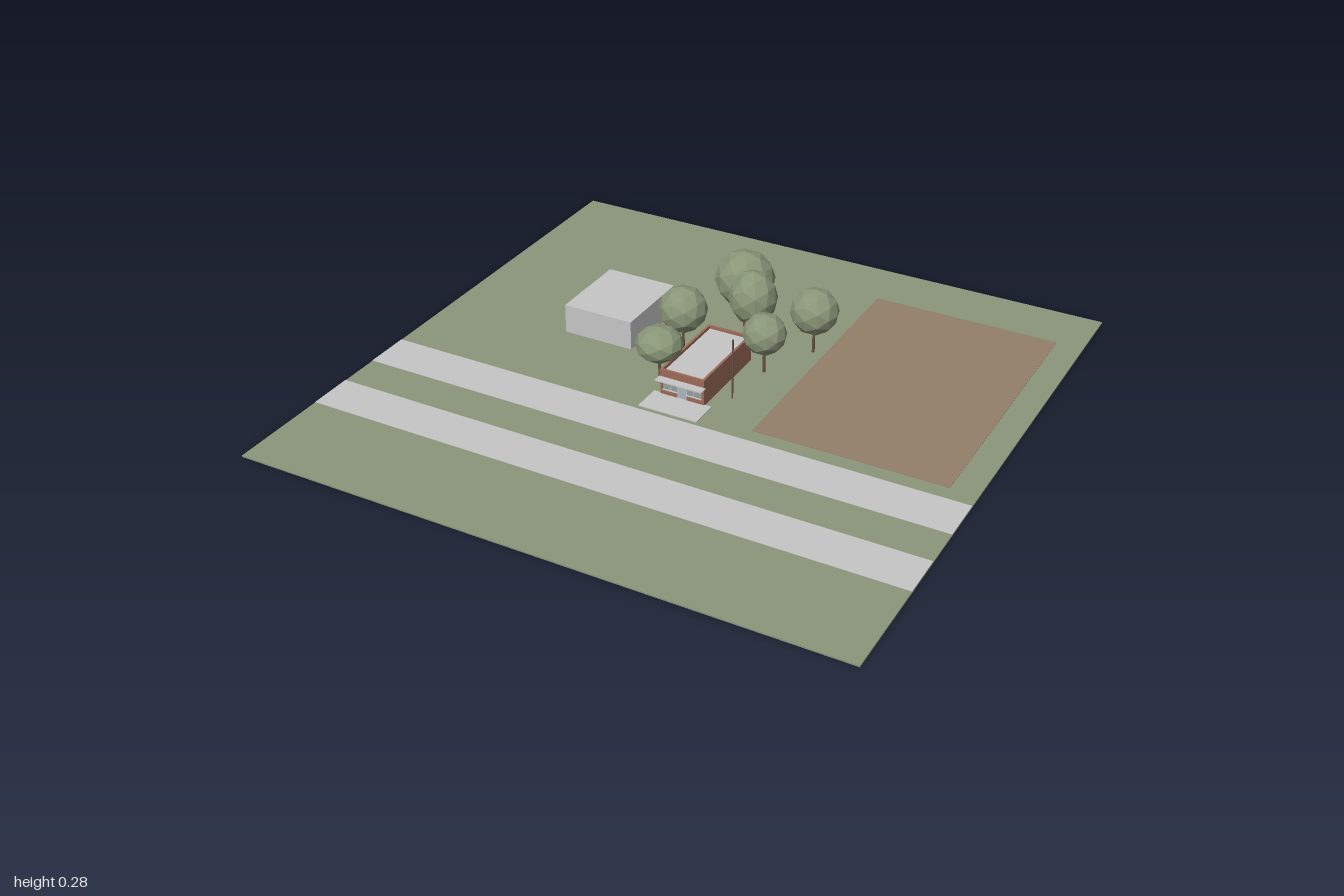
import * as THREE from 'three';

const mat = (name, color, extra = {}) => {
  const m = new THREE.MeshStandardMaterial({ color, ...extra });
  m.name = name;
  return m;
};

export function createModel() {
  const grass = mat('grass green', 0x8b967b);
  const leaf = mat('leaf green', 0x8a9678, { flatShading: true });
  const concrete = mat('concrete grey', 0xc6c6c6);
  const soil = mat('soil brown', 0x94806a);
  const brick = mat('brick red', 0x9c6a58);
  const wood = mat('wood brown', 0x6b5140);
  const glass = mat('window glass', 0x93a09a);
  const door = mat('door grey', 0xaab4be);

  const root = new THREE.Group();
  root.name = 'townLot';

  // box given by its extents
  const box = (parent, name, m, x0, x1, y0, y1, z0, z1) => {
    const mesh = new THREE.Mesh(new THREE.BoxGeometry(x1 - x0, y1 - y0, z1 - z0), m);
    mesh.position.set((x0 + x1) / 2, (y0 + y1) / 2, (z0 + z1) / 2);
    mesh.name = name;
    parent.add(mesh);
    return mesh;
  };

  // ground and paved areas
  const G = 0.005;
  box(root, 'ground', grass, -1, 1, 0, G, -1, 1);
  box(root, 'nearRoad', concrete, -1, 1, G, G + 0.0015, 0.51, 0.66);
  box(root, 'farRoad', concrete, -1, 1, G, G + 0.0015, 0.215, 0.37);
  box(root, 'soilField', soil, 0.27, 0.91, G, G + 0.0015, -0.795, 0.16);
  box(root, 'forecourt', concrete, -0.105, 0.1, G, G + 0.003, 0.1, 0.2);

  // plain neighbouring building
  box(root, 'greyBlock', concrete, -0.55, -0.3, G, 0.106, -0.38, -0.09);

  // brick shop
  const shop = new THREE.Group();
  shop.name = 'shop';
  root.add(shop);
  const L = -0.08, R = 0.075, B = -0.217, F = 0.105, H = 0.096, T = 0.008;
  box(shop, 'rightWall', brick, L, L + T, G, H, B, F);
  box(shop, 'leftWall', brick, R - T, R, G, H, B, F);
  box(shop, 'backWall', brick, L + T, R - T, G, H, B, B + T);
  box(shop, 'frontParapet', brick, L + T, R - T, 0.066, H, F - T, F);
  box(shop, 'roof', concrete, L + T, R - T, 0.08, 0.086, B + T, F - T);

  // shop front: low walls, windows, posts and door
  for (const [x0, x1] of [[L + T, -0.017], [0.013, R - T]]) {
    box(shop, 'lowWall', brick, x0, x1, G, 0.024, F - T, F);
    box(shop, 'window', glass, x0, x1, 0.024, 0.066, F - 0.006, F - 0.003);
    box(shop, 'windowMullion', concrete, (x0 + x1) / 2 - 0.0015, (x0 + x1) / 2 + 0.0015, 0.024, 0.066, F - 0.005, F - 0.001);
    box(shop, 'windowSill', concrete, x0, x1, 0.024, 0.026, F - T, F + 0.002);
  }
  box(shop, 'door', door, -0.017, 0.013, G, 0.053, F - 0.006, F - 0.002);
  box(shop, 'doorTransom', glass, -0.017, 0.013, 0.053, 0.066, F - 0.006, F - 0.003);
  for (const x of [-0.017, 0.013]) {
    box(shop, 'doorPost', concrete, x - 0.0015, x + 0.0015, G, 0.066, F - 0.006, F);
  }

  // thin canopy over the entrance
  box(shop, 'canopy', concrete, -0.083, 0.081, 0.067, 0.071, F, 0.134);

  // utility pole
  const pole = new THREE.Mesh(new THREE.CylinderGeometry(0.003, 0.003, 0.21, 8), wood);
  pole.position.set(0.13, 0.109, 0.02);
  pole.name = 'pole';
  root.add(pole);

  // trees: x, z, crown centre height, crown radius, crown half height
  const trees = [
    [-0.045, -0.405, 0.187, 0.101, 0.098],
    [0.04, -0.295, 0.19, 0.081, 0.094],
    [0.23, -0.36, 0.157, 0.081, 0.079],
    [-0.15, -0.172, 0.157, 0.081, 0.079],
    [0.145, -0.17, 0.145, 0.072, 0.07],
    [-0.13, 0.02, 0.13, 0.078, 0.06],
  ];
  for (const [x, z, cy, r, h] of trees) {
    const tree = new THREE.Group();
    tree.name = 'tree';
    tree.position.set(x, 0, z);
    const trunk = new THREE.Mesh(new THREE.CylinderGeometry(0.004, 0.005, cy - G, 7), wood);
    trunk.position.y = (cy + G) / 2;
    trunk.name = 'trunk';
    const crown = new THREE.Mesh(new THREE.IcosahedronGeometry(1, 1), leaf);
    crown.scale.set(r, h, r);
    crown.position.y = cy;
    crown.name = 'crown';
    tree.add(trunk, crown);
    root.add(tree);
  }
  return root;
}
